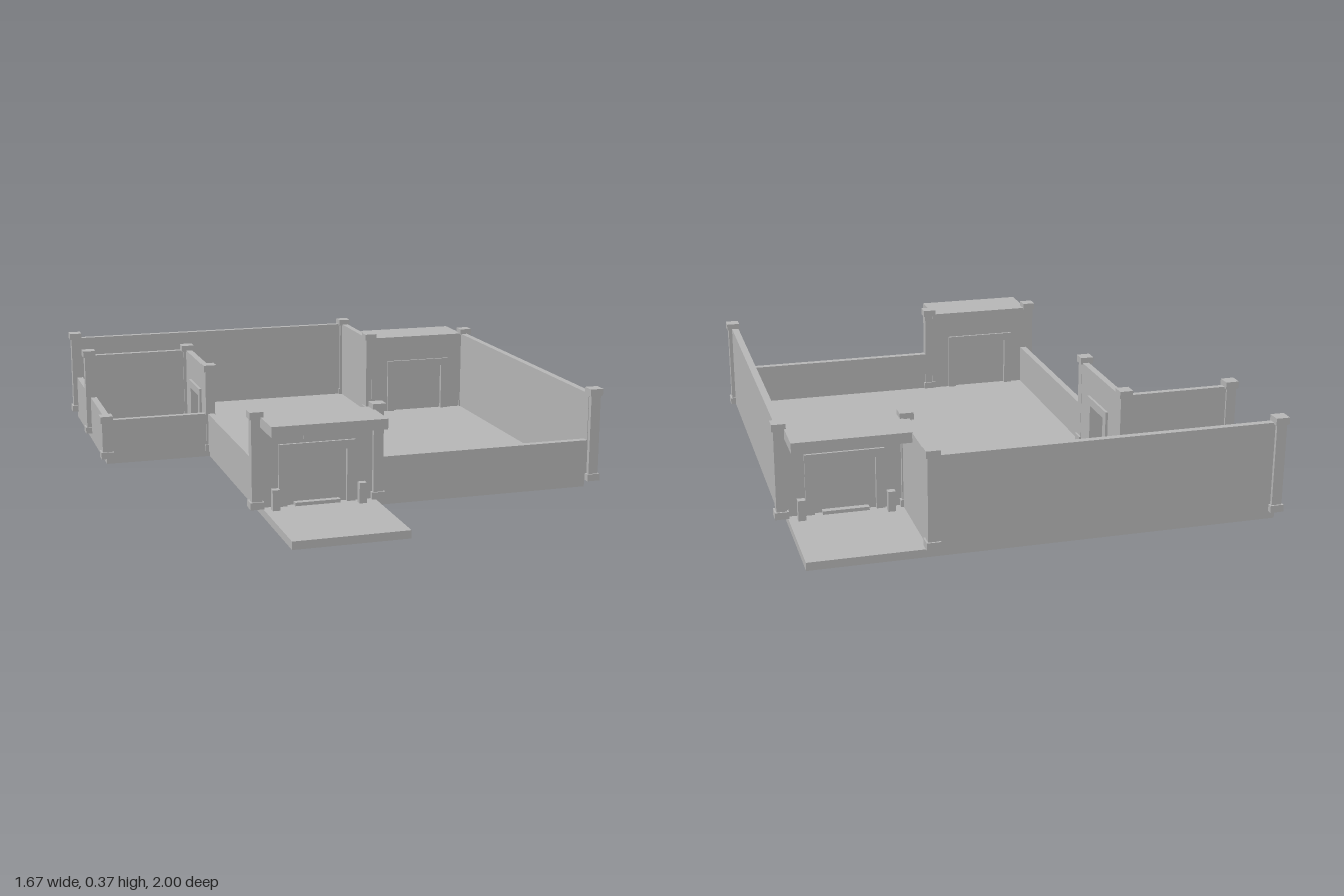
import * as THREE from 'three';

export function createModel() {
  const model = new THREE.Group();
  model.name = 'walledBuilding';
  const stone = new THREE.MeshStandardMaterial({ color: 0xb8b8b8 });
  stone.name = 'grey stone';

  // Box given by its lower and upper limits on each axis
  function block(name, x0, x1, y0, y1, z0, z1, parent = model) {
    const mesh = new THREE.Mesh(new THREE.BoxGeometry(x1 - x0, y1 - y0, z1 - z0), stone);
    mesh.name = name;
    mesh.position.set((x0 + x1) / 2, (y0 + y1) / 2, (z0 + z1) / 2);
    parent.add(mesh);
    return mesh;
  }

  const FLOOR = 0.028, HIGH = 0.345, LOW = 0.175;

  // Floor tile: thin slab with a waffle of ribs below
  function floorTile(cx, cz) {
    const tile = new THREE.Group();
    tile.name = 'floorTile';
    tile.position.set(cx, 0, cz);
    const h = 0.2, rib = 0.007;
    block('floorSlab', -h, h, 0.018, FLOOR, -h, h, tile);
    for (let i = 0; i <= 5; i++) {
      const p = -h + i * 0.08;
      const a = Math.max(p - rib, -h), b = Math.min(p + rib, h);
      block('floorRib', a, b, 0, 0.018, -h, h, tile);
      block('floorRib', -h, h, 0, 0.018, a, b, tile);
    }
    model.add(tile);
  }
  for (const x of [-0.61, -0.21, 0.19, 0.59]) {
    for (const z of [-0.78, -0.38, 0.02, 0.42]) {
      if (x < -0.5 && z > 0) continue;
      floorTile(x, z);
    }
  }
  floorTile(-0.21, 0.8);

  // Column with a wider base and cap
  function column(x, z, top) {
    const g = new THREE.Group();
    g.name = 'column';
    g.position.set(x, 0, z);
    const s = 0.018, w = 0.024;
    block('columnShaft', -s, s, FLOOR, top - 0.02, -s, s, g);
    block('columnBase', -w, w, FLOOR, FLOOR + 0.025, -w, w, g);
    block('columnCap', -w, w, top - 0.025, top, -w, w, g);
    model.add(g);
  }
  const columns = [
    [-0.81, -0.976], [0.38, -0.968], [0.38, -0.6], [0.81, -0.6], [0.81, 0.63],
    [0, 0.62], [-0.43, 0.62], [-0.41, -0.17], [-0.41, -0.58], [-0.81, -0.58],
  ];
  for (const [x, z] of columns) column(x, z, 0.365);
  column(-0.81, -0.17, 0.192);

  // Plain walls
  block('backWall', -0.81, 0.38, FLOOR, HIGH, -0.982, -0.958);
  block('notchWall', 0.37, 0.394, FLOOR, HIGH, -0.968, -0.6);
  block('rightWall', 0.79, 0.815, FLOOR, HIGH, -0.6, 0.63);
  block('courtyardBackWall', -0.81, -0.41, FLOOR, HIGH, -0.59, -0.568);
  block('frontLowWall', 0, 0.81, FLOOR, LOW, 0.606, 0.632);
  block('leftLowWall', -0.42, -0.396, FLOOR, LOW, -0.17, 0.62);
  block('backLeftLowWall', -0.81, -0.786, FLOOR, LOW, -0.976, -0.58);
  block('courtyardSideWall', -0.81, -0.786, FLOOR, LOW, -0.58, -0.17);
  block('courtyardFrontWall', -0.81, -0.41, FLOOR, LOW, -0.182, -0.158);

  // Doorway in local space: wall along x, outside towards +z
  function doorway(name, half, outer, closed) {
    const g = new THREE.Group();
    g.name = name;
    const t = 0.012, f = 0.021, inner = outer - 0.03;
    for (const s of [-1, 1]) {
      const span = (a, b) => (s > 0 ? [a, b] : [-b, -a]);
      block('doorWallSide', ...span(inner, half), FLOOR, HIGH, -t, t, g);
      block('doorJamb', ...span(inner, outer), FLOOR, 0.245, -f, f, g);
    }
    block('doorWallTop', -inner, inner, 0.215, HIGH, -t, t, g);
    block('doorLintel', -outer, outer, 0.215, 0.245, -f, f, g);
    if (closed) block('doorPanel', -inner, inner, FLOOR, 0.215, -0.006, 0.006, g);
    model.add(g);
    return g;
  }

  // Covered entrance: closed door, canopy, sign, step and two bollards
  function entrance(name) {
    const g = doorway(name, 0.205, 0.136, true);
    block('canopy', -0.2, 0.2, 0.311, HIGH + 0.002, -0.013, 0.17, g);
    block('signPlate', -0.047, 0.047, 0.259, 0.285, 0.012, 0.02, g);
    block('doorStep', -0.08, 0.08, FLOOR, 0.04, 0, 0.028, g);
    for (const x of [-0.155, 0.151]) {
      block('bollard', x - 0.013, x + 0.013, FLOOR, 0.1, 0.037, 0.061, g);
    }
    return g;
  }
  entrance('frontEntrance').position.set(-0.217, 0, 0.613);
  const back = entrance('backEntrance');
  back.position.set(0.592, 0, -0.592);
  back.rotation.y = Math.PI;

  // Open doorway to the courtyard
  const side = doorway('courtyardDoorway', 0.205, 0.097, false);
  side.position.set(-0.405, 0, -0.375);
  side.rotation.y = -Math.PI / 2;

  return model;
}
